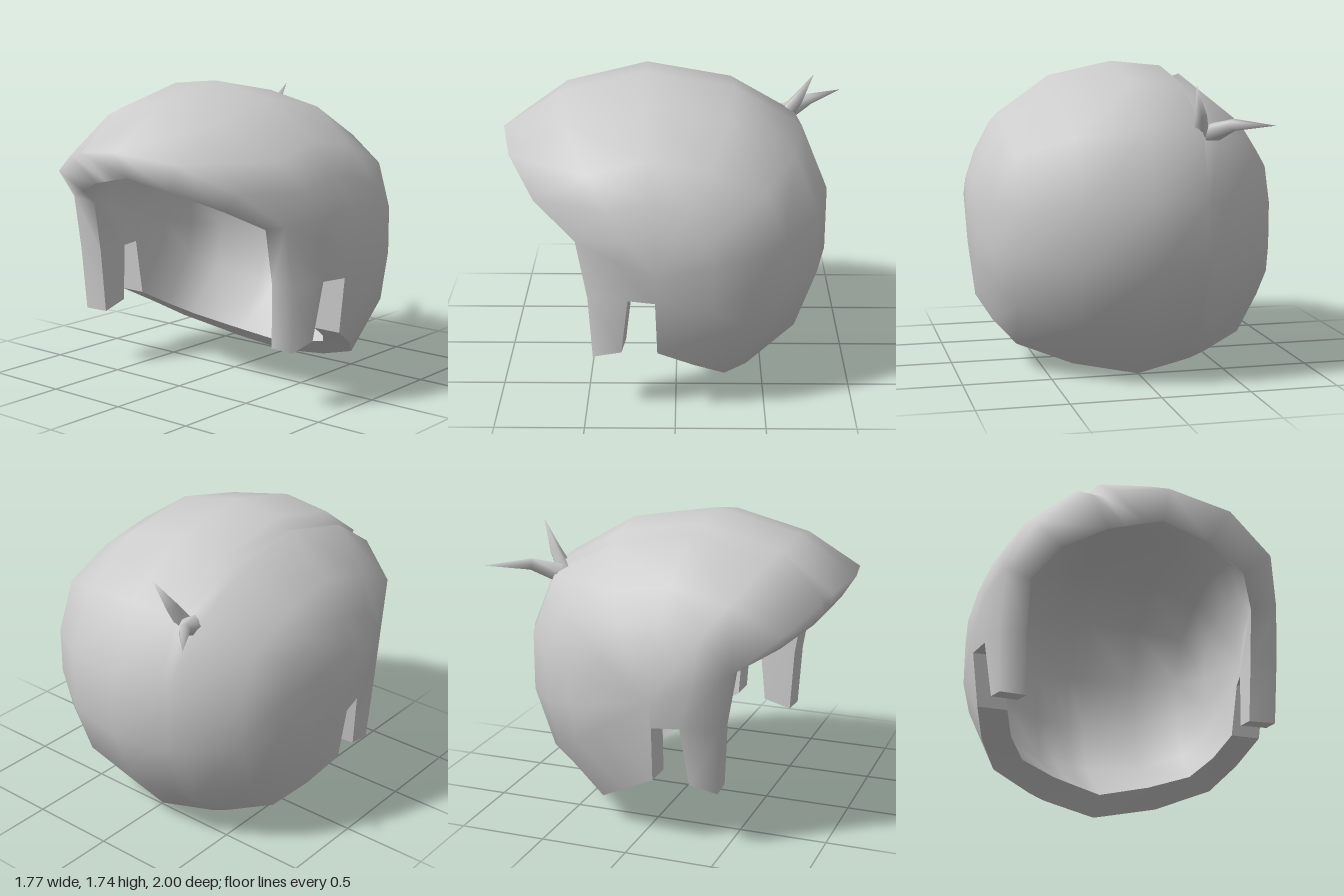
import * as THREE from 'three';
import { mergeVertices } from 'three/addons/utils/BufferGeometryUtils.js';

const CY = 0.85, CZ = 0.1;
// Mid-line profile of the cap as [z, y] offsets from the centre, brow to nape
const PROFILE = [[0.57, 0.77], [0.08, 0.89], [-0.43, 0.8], [-0.82, 0.57], [-0.98, 0.18], [-0.98, -0.2], [-0.84, -0.56]];

// Cross-sections: x, profile scale, fringe edge point, nape edge point
const OUTER = [
  [0, 1, [0, 1.41, 1], [0, 0, -0.49]],
  [0.38, 0.91, [0.38, 1.37, 0.93], [0.36, 0.06, -0.41]],
  [0.69, 0.67, [0.68, 1.22, 0.77], [0.66, 0.16, -0.275]],
  [0.8, 0.46, [0.8, 1.03, 0.54], [0.77, 0.27, -0.1]],
  [0.87, 0.26, [0.87, 0.95, 0.33], [0.84, 0.38, 0.1]],
  [0.885, 0, [0.885, 0.85, 0.1], [0.88, 0.7, 0.11]],
];
const INNER = [
  [0, 0.845, [0, 1.26, 0.9], [0, 0.1, -0.36]],
  [0.31, 0.79, [0.28, 1.2, 0.85], [0.28, 0.15, -0.29]],
  [0.56, 0.61, [0.53, 1.11, 0.72], [0.51, 0.21, -0.2]],
  [0.67, 0.41, [0.65, 1, 0.52], [0.61, 0.29, -0.06]],
  [0.72, 0.21, [0.69, 0.95, 0.33], [0.67, 0.38, 0.1]],
  [0.735, 0, [0.735, 0.85, 0.1], [0.71, 0.7, 0.11]],
];
// Sections around the hair parting on the right; the second is the groove
const PART_OUTER = [
  [-0.42, 0.91, [-0.42, 1.35, 0.92], [-0.42, 0.08, -0.39]],
  [-0.33, 0.91, [-0.33, 1.36, 0.89], [-0.33, 0.055, -0.42], 0.965],
  [-0.305, 0.965, [-0.305, 1.38, 0.945], [-0.305, 0.05, -0.425]],
];
const PART_INNER = [
  [-0.31, 0.79, [-0.3, 1.195, 0.845], [-0.3, 0.155, -0.285]],
  [-0.2, 0.823, [-0.2, 1.217, 0.865], [-0.2, 0.136, -0.31]],
  [-0.1, 0.84, [-0.1, 1.24, 0.885], [-0.1, 0.118, -0.335]],
];

// Sideburn and temple corners, outside and inside
const BURN_OUT = [[0.8, 1.03, 0.54], [0.81, 0.7, 0.48], [0.79, 0.33, 0.46], [0.805, 0.365, 0.3],
  [0.845, 0.7, 0.26], [0.88, 0.7, 0.11], [0.885, 0.85, 0.1], [0.87, 0.95, 0.33]];
const BURN_IN = [[0.65, 1, 0.52], [0.655, 0.7, 0.47], [0.64, 0.33, 0.45], [0.655, 0.37, 0.28],
  [0.68, 0.7, 0.24], [0.71, 0.7, 0.11], [0.735, 0.85, 0.1], [0.69, 0.95, 0.33]];
const BURN_QUADS = [[0, 1, 4, 7], [1, 2, 3, 4], [7, 4, 5, 6]];

const flipX = ([x, y, z]) => [-x, y, z];
const mirrorRow = ([x, s, f, n]) => [-x, s, flipX(f), flipX(n)];

// Turn one cross-section into a line of points; the back is a little fuller
function sectionPoints([x, s, front, nape, groove = 1]) {
  const mid = PROFILE.map(([z, y], i) => {
    const k = i < 3 ? s * groove : s ** (i < 6 ? 0.85 : 0.74);
    return [x, CY + y * k, CZ + z * k];
  });
  return [front, ...mid, nape];
}

function allSections(half, part) {
  const right = [5, 4, 3, 2].map((i) => mirrorRow(half[i]));
  return [...right, ...part, ...half].map(sectionPoints);
}

// Add a four-cornered face to a triangle list
function quad(out, a, b, c, d, flip = false) {
  const tris = flip ? [a, c, b, a, d, c] : [a, b, c, a, c, d];
  for (const p of tris) out.push(...p);
}

function grid(out, rows, flip = false) {
  for (let i = 0; i < rows.length - 1; i++)
    for (let j = 0; j < rows[i].length - 1; j++)
      quad(out, rows[i][j], rows[i + 1][j], rows[i + 1][j + 1], rows[i][j + 1], flip);
}

function makeMesh(name, triangles, material, smooth = true) {
  let geo = new THREE.BufferGeometry();
  geo.setAttribute('position', new THREE.Float32BufferAttribute(triangles, 3));
  if (smooth) geo = mergeVertices(geo);
  geo.computeVertexNormals();
  const mesh = new THREE.Mesh(geo, material);
  mesh.name = name;
  return mesh;
}

// Pointed lock: rings along a bent path closing at the tip
function spike(name, path, radii, material) {
  const pts = path.map((p) => new THREE.Vector3(...p));
  const dir = pts[2].clone().sub(pts[0]).normalize();
  const side = new THREE.Vector3(0, 1, 0).cross(dir).normalize();
  const up = dir.clone().cross(side);
  const rows = pts.map((p, i) => {
    const ring = [];
    for (let k = 0; k <= 5; k++) {
      const a = ((k % 5) / 5) * Math.PI * 2;
      ring.push(p.clone().addScaledVector(side, Math.cos(a) * radii[i])
        .addScaledVector(up, Math.sin(a) * radii[i]).toArray());
    }
    return ring;
  });
  const tris = [];
  grid(tris, rows, true);
  return makeMesh(name, tris, material);
}

export function createModel() {
  const group = new THREE.Group();
  group.name = 'hair';
  const hair = new THREE.MeshStandardMaterial({ color: 0xcccccc, side: THREE.DoubleSide });
  hair.name = 'hair grey';

  const outer = allSections(OUTER, PART_OUTER);
  const inner = allSections(INNER, PART_INNER);

  // Outer surface rolling under the fringe, and inner surface
  const outerTris = [], innerTris = [];
  grid(outerTris, outer);
  grid(outerTris, outer.map((r, i) => [r[0], inner[i][0]]).slice(2, -2), true);
  grid(innerTris, inner, true);

  // Temples and sideburns: front edges stay soft, the tip and ear notch are sharp
  for (const mirrored of [false, true]) {
    const o = mirrored ? BURN_OUT.map(flipX) : BURN_OUT;
    const n = mirrored ? BURN_IN.map(flipX) : BURN_IN;
    for (const [a, b, c, d] of BURN_QUADS) {
      quad(outerTris, o[a], o[b], o[c], o[d], mirrored);
      quad(innerTris, n[a], n[b], n[c], n[d], !mirrored);
    }
    const notch = [];
    for (let i = 0; i < 5; i++)
      quad(i < 2 ? outerTris : notch, o[i], n[i], n[i + 1], o[i + 1], mirrored);
    // Front wall of the hair behind the ear
    const behindEar = [[0.88, 0.7, 0.11], [0.71, 0.7, 0.11], [0.67, 0.38, 0.1], [0.84, 0.38, 0.1]];
    quad(notch, ...(mirrored ? behindEar.map(flipX) : behindEar), mirrored);
    group.add(makeMesh(mirrored ? 'rightEarNotch' : 'leftEarNotch', notch, hair, false));
  }
  group.add(makeMesh('outerHair', outerTris, hair));
  group.add(makeMesh('innerHair', innerTris, hair));

  // Cut edge of the nape, between the two ear notches
  const nape = [];
  const last = PROFILE.length + 1;
  grid(nape, outer.map((r, i) => [r[last], inner[i][last]]).slice(1, -1));
  group.add(makeMesh('napeRim', nape, hair));

  // Tuft at the crown
  group.add(spike('longTuft', [[-0.37, 1.37, -0.64], [-0.45, 1.43, -0.79], [-0.62, 1.44, -1]], [0.06, 0.035, 0], hair));
  group.add(spike('shortTuft', [[-0.31, 1.37, -0.64], [-0.29, 1.48, -0.71], [-0.24, 1.65, -0.8]], [0.05, 0.035, 0], hair));
  return group;
}
